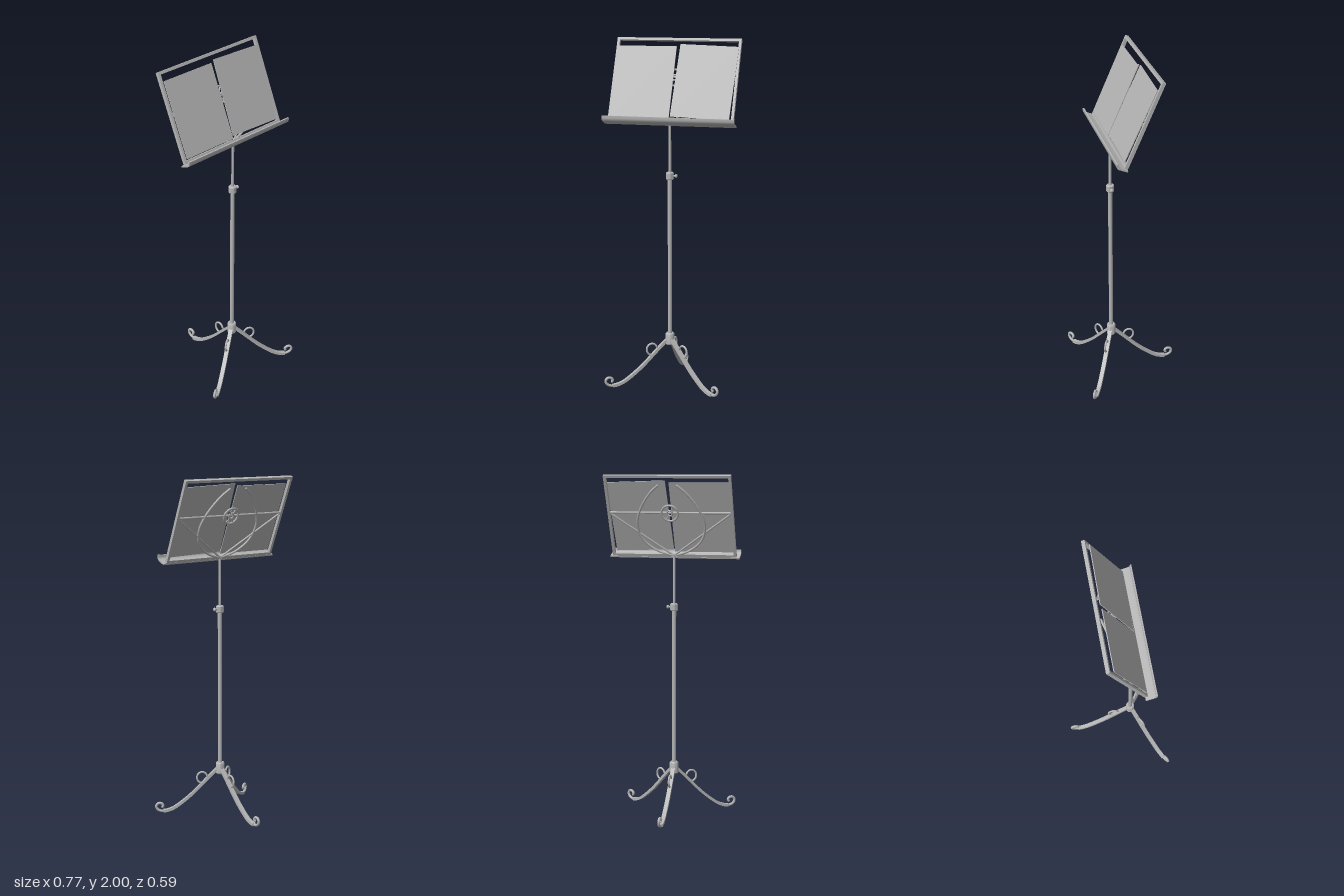
import * as THREE from 'three';
import { toCreasedNormals } from 'three/addons/utils/BufferGeometryUtils.js';

const metal = new THREE.MeshStandardMaterial({ color: 0xb4b4b4 });
metal.name = 'grey';

function add(parent, name, geometry, x = 0, y = 0, z = 0) {
  const mesh = new THREE.Mesh(geometry, metal);
  mesh.name = name;
  mesh.position.set(x, y, z);
  parent.add(mesh);
  return mesh;
}

// flat bar following a path in the XY plane, its width running along z
function strip(points, thickness, width) {
  const left = [], right = [];
  points.forEach((p, i) => {
    const a = points[Math.max(i - 1, 0)], b = points[Math.min(i + 1, points.length - 1)];
    const n = new THREE.Vector2(a.y - b.y, b.x - a.x).normalize().multiplyScalar(thickness / 2);
    left.push(p.clone().add(n));
    right.unshift(p.clone().sub(n));
  });
  const shape = new THREE.Shape([...right, ...left]);
  const g = new THREE.ExtrudeGeometry(shape, { depth: width, bevelEnabled: false });
  g.translate(0, 0, -width / 2);
  return toCreasedNormals(g, 0.6);
}

const v2 = (list) => list.map(([x, y]) => new THREE.Vector2(x, y));

// round rod through points in the XY plane, with closed rounded ends
function rod(parent, name, list, radius, z = 0) {
  const pts = list.map(([x, y]) => new THREE.Vector3(x, y, z));
  const curve = new THREE.CatmullRomCurve3(pts);
  add(parent, name, new THREE.TubeGeometry(curve, list.length > 2 ? 40 : 1, radius, 10));
  for (const p of [pts[0], pts[pts.length - 1]])
    add(parent, name + 'End', new THREE.SphereGeometry(radius, 10, 8), p.x, p.y, p.z);
}

function makeLeg(angle) {
  const leg = new THREE.Group();
  leg.name = 'leg';
  const path = new THREE.SplineCurve(v2([[0.015, 0.268], [0.08, 0.203], [0.17, 0.112], [0.26, 0.04], [0.31, 0.016], [0.342, 0.011]]));
  add(leg, 'legBar', strip(path.getPoints(24), 0.016, 0.024));
  // curled foot
  rod(leg, 'footCurl', [[0.33, 0.012], [0.355, 0.011], [0.378, 0.024], [0.384, 0.043], [0.373, 0.058], [0.354, 0.058], [0.343, 0.046], [0.347, 0.036]], 0.008);
  // decorative scroll on top of the leg
  const scroll = [];
  for (let i = 0; i <= 12; i++) {
    const a = -1.75 + i * 0.38;
    scroll.push([0.108 + 0.031 * Math.cos(a), 0.212 + 0.034 * Math.sin(a)]);
  }
  rod(leg, 'legScroll', scroll, 0.006);
  leg.rotation.y = angle;
  return leg;
}

function makeDesk() {
  const desk = new THREE.Group();
  desk.name = 'desk';
  // frame
  for (const s of [-1, 1]) add(desk, 'frameSide', new THREE.BoxGeometry(0.015, 0.508, 0.02), s * 0.36, 0.254, 0);
  add(desk, 'frameTop', new THREE.BoxGeometry(0.735, 0.015, 0.02), 0, 0.5005, 0);
  add(desk, 'frameBottom', new THREE.BoxGeometry(0.735, 0.015, 0.02), 0, 0.0075, 0);

  // sheets resting on the frame, the one on the model's left slightly askew
  add(desk, 'sheetRight', new THREE.BoxGeometry(0.345, 0.432, 0.005), -0.178, 0.239, 0.0135);
  add(desk, 'sheetLeft', new THREE.BoxGeometry(0.343, 0.432, 0.005), 0.179, 0.247, 0.0135).rotation.z = -0.035;

  // back bracing: crossbar, V braces and lyre arms
  rod(desk, 'crossbar', [[-0.36, 0.277], [0.36, 0.277]], 0.0065, -0.003);
  for (const s of [-1, 1]) {
    rod(desk, 'brace', [[0, 0.005], [s * 0.36, 0.277]], 0.0055, -0.003);
    const arm = [[0, 0.003], [0.1, 0.04], [0.175, 0.11], [0.198, 0.2], [0.17, 0.3], [0.105, 0.4], [0.057, 0.445]];
    rod(desk, 'lyreArm', arm.map(([x, y]) => [s * x, y]), 0.0065, -0.005);
  }

  // central rosette
  add(desk, 'rosetteRing', new THREE.TorusGeometry(0.048, 0.006, 10, 36), 0, 0.275, -0.006);
  add(desk, 'rosetteHub', new THREE.TorusGeometry(0.016, 0.005, 10, 24), 0, 0.275, -0.006);
  for (let i = 0; i < 6; i++) {
    const c = Math.cos(i * Math.PI / 3), s = Math.sin(i * Math.PI / 3);
    rod(desk, 'rosetteSpoke', [[c * 0.016, 0.275 + s * 0.016], [c * 0.048, 0.275 + s * 0.048]], 0.004, -0.006);
  }
  desk.position.set(0, 1.53, 0.102);
  desk.rotation.x = -0.411;
  return desk;
}

export function createModel() {
  const model = new THREE.Group();
  model.name = 'musicStand';
  const z = 0.098;

  // tripod base
  const base = new THREE.Group();
  base.name = 'base';
  base.position.z = z;
  for (const a of [Math.PI / 2, -Math.PI / 6, Math.PI * 7 / 6]) base.add(makeLeg(a));
  const hub = v2([[0, 0.235], [0.022, 0.235], [0.026, 0.24], [0.026, 0.3], [0.022, 0.306], [0, 0.306]]);
  add(base, 'hub', toCreasedNormals(new THREE.LatheGeometry(hub, 24), 0.6));
  model.add(base);

  // telescopic pole
  add(model, 'lowerPole', new THREE.CylinderGeometry(0.0125, 0.0125, 0.95, 20), 0, 0.755, z);
  add(model, 'upperPole', new THREE.CylinderGeometry(0.008, 0.008, 0.32, 16), 0, 1.37, z);

  // clamp collar with thumbscrew
  const collar = v2([[0, 1.21], [0.019, 1.21], [0.023, 1.214], [0.023, 1.248], [0.019, 1.253], [0, 1.253]]);
  add(model, 'collar', toCreasedNormals(new THREE.LatheGeometry(collar, 24), 0.6), 0, 0, z);
  add(model, 'screw', new THREE.CylinderGeometry(0.006, 0.006, 0.03, 12), 0.025, 1.232, z).rotation.z = Math.PI / 2;
  add(model, 'thumbKnob', new THREE.SphereGeometry(0.011, 16, 12), 0.037, 1.232, z).scale.x = 0.8;

  // desk and sheet ledge
  model.add(makeDesk());
  const ledge = v2([[0.098, 1.521], [0.125, 1.532], [0.146, 1.541], [0.153, 1.547], [0.156, 1.556], [0.156, 1.57]]);
  add(model, 'ledge', strip(ledge, 0.009, 0.77)).rotation.y = -Math.PI / 2;
  return model;
}
